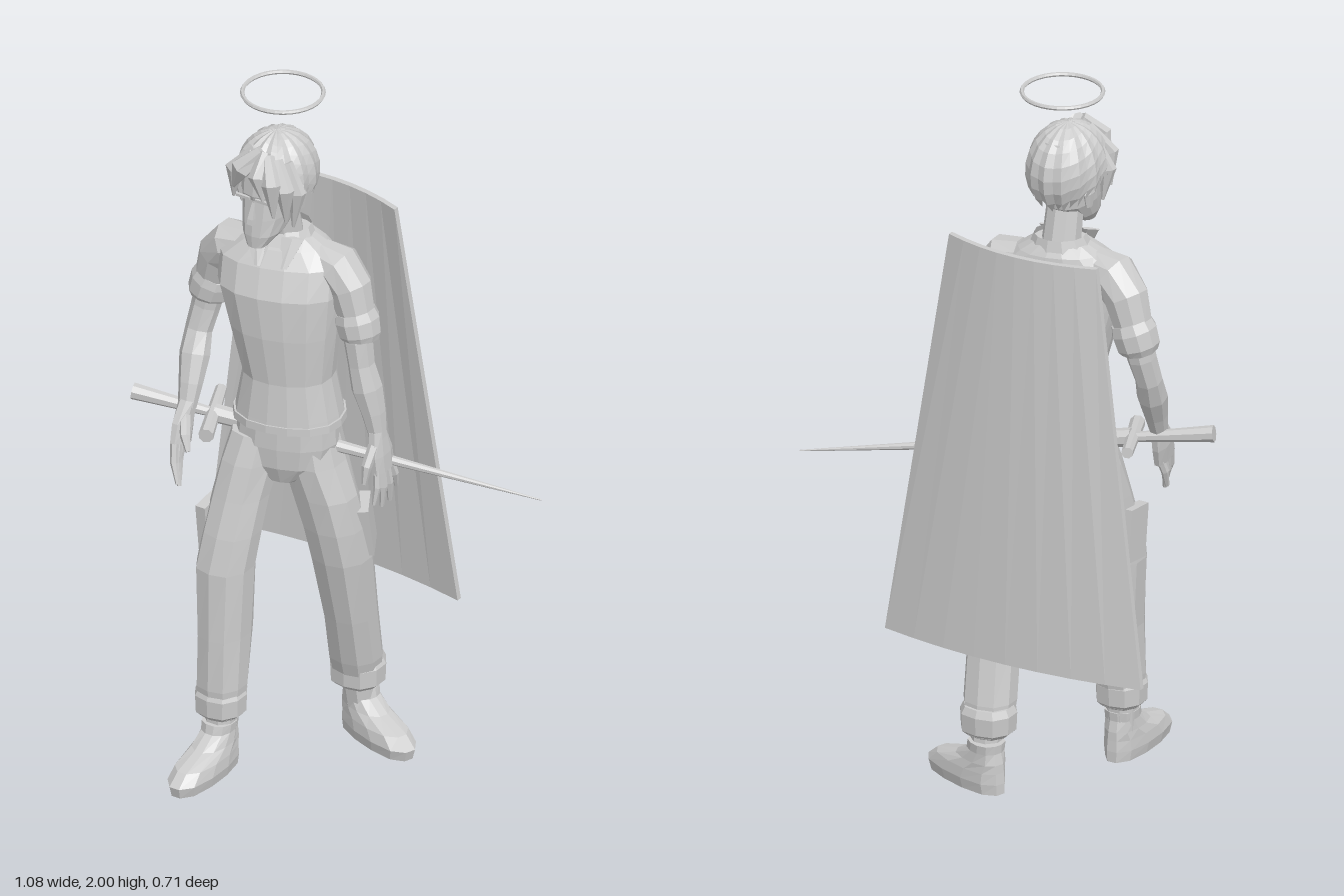
import * as THREE from 'three';

const grey = new THREE.MeshStandardMaterial({ color: 0xcccccc, flatShading: true, side: THREE.DoubleSide });
grey.name = 'plain grey';

export function createModel() {
  const root = new THREE.Group();
  root.name = 'swordBearer';

  const add = (name, geo, parent = root) => {
    const m = new THREE.Mesh(geo, grey);
    m.name = name;
    parent.add(m);
    return m;
  };

  // Skin through rings [x, y, z, rx, rz]; rings lie flat, or across the path when follow is set
  function loft(rings, { n = 10, p = 2, yaw = 0, follow = false, cap = true } = {}) {
    const pos = [], idx = [], c = rings.map(r => new THREE.Vector3(r[0], r[1], r[2]));
    rings.forEach((r, k) => {
      const t = new THREE.Vector3(0, 1, 0);
      if (follow) t.subVectors(c[Math.min(k + 1, c.length - 1)], c[Math.max(k - 1, 0)]).normalize();
      const ref = Math.abs(t.z) > 0.85 ? new THREE.Vector3(1, 0, 0) : new THREE.Vector3(0, 0, 1);
      const u = t.clone().cross(ref).normalize(), v = u.clone().cross(t);
      for (let i = 0; i < n; i++) {
        const a = (i + 0.5) / n * Math.PI * 2, ca = Math.cos(a), sa = Math.sin(a);
        const e = Math.pow(Math.abs(ca) ** p + Math.abs(sa) ** p, -1 / p);
        const x = ca * e * r[3], z = sa * e * (r[4] ?? r[3]);
        const px = x * Math.cos(yaw) + z * Math.sin(yaw), pz = z * Math.cos(yaw) - x * Math.sin(yaw);
        const q = c[k].clone().addScaledVector(u, px).addScaledVector(v, pz);
        pos.push(q.x, q.y, q.z);
      }
    });
    for (let k = 0; k < rings.length - 1; k++) for (let i = 0; i < n; i++) {
      const a = k * n + i, b = k * n + (i + 1) % n;
      idx.push(a, a + n, b, b, a + n, b + n);
    }
    if (cap) {
      const top = (rings.length - 1) * n;
      for (let i = 1; i < n - 1; i++) idx.push(0, i, i + 1, top, top + i + 1, top + i);
    }
    const g = new THREE.BufferGeometry();
    g.setAttribute('position', new THREE.Float32BufferAttribute(pos, 3));
    g.setIndex(idx);
    g.computeVertexNormals();
    return g;
  }
  const rod = (name, a, b, r1, r2, n = 8) => add(name, loft([[...a, r1], [...b, r2]], { n, follow: true }));

  // Halo
  add('halo', new THREE.TorusGeometry(0.108, 0.006, 6, 32).rotateX(Math.PI / 2)).position.set(-0.148, 1.994, -0.053);

  // Curved trapezoid back panel
  const panel = new THREE.BoxGeometry(2, 1.17, 0.016, 8, 1, 1), pp = panel.attributes.position;
  for (let i = 0; i < pp.count; i++) {
    const s = pp.getX(i), f = pp.getY(i) / 1.17 + 0.5;
    const half = THREE.MathUtils.lerp(0.392, 0.225, f), mid = THREE.MathUtils.lerp(-0.35, -0.299, f);
    pp.setXYZ(i, -0.148 + s * half, 0.44 + 1.17 * f, mid + s * s * 0.042 + pp.getZ(i));
  }
  panel.computeVertexNormals();
  add('backPanel', panel);

  // Sword through the hip
  const swordAt = s => [-0.53 + 1.07 * s, 1.025 - 0.16 * s, 0.09 - 0.345 * s];
  rod('swordGrip', swordAt(0), swordAt(0.2), 0.023, 0.013);
  rod('swordGuard', [-0.275, 0.985, 0.125], [-0.365, 1.0, -0.085], 0.021, 0.016);
  rod('swordBlade', swordAt(0.2), swordAt(1), 0.026, 0.002);

  // Shirt and pelvis
  const yaw = 0.28;
  add('shirt', loft([
    [-0.125, 1.025, -0.052, 0.148, 0.118], [-0.125, 1.05, -0.052, 0.144, 0.116],
    [-0.125, 1.16, -0.05, 0.124, 0.106], [-0.135, 1.3, -0.045, 0.15, 0.113],
    [-0.145, 1.42, -0.042, 0.172, 0.112], [-0.15, 1.5, -0.055, 0.17, 0.096],
    [-0.15, 1.545, -0.064, 0.115, 0.08], [-0.15, 1.57, -0.066, 0.075, 0.066],
  ], { n: 16, p: 2.4, yaw }));
  add('shirtHem', loft([[-0.125, 1.018, -0.052, 0.152, 0.122], [-0.125, 1.04, -0.052, 0.151, 0.121]], { n: 16, p: 2.4, yaw }));
  add('pelvis', loft([
    [-0.12, 0.85, -0.03, 0.05, 0.06], [-0.125, 0.9, -0.04, 0.125, 0.09],
    [-0.128, 0.96, -0.048, 0.142, 0.104], [-0.125, 1.04, -0.05, 0.135, 0.105],
  ], { n: 14, p: 2.4, yaw }));

  // Collar with two folded points
  add('collar', loft([[-0.15, 1.53, -0.06, 0.098, 0.086], [-0.15, 1.59, -0.07, 0.07, 0.062]], { n: 12, yaw, cap: false }));
  for (const s of [-1, 1]) {
    const flap = add('collarPoint', loft([[s * 0.035, -0.045, 0.012, 0.012, 0.006], [s * 0.05, 0.03, -0.028, 0.036, 0.007]], { n: 6 }));
    flap.position.set(-0.135, 1.55, 0.02);
    flap.rotation.y = yaw;
  }

  // Arms: sleeve, rolled cuff, bare arm, hand
  function arm(side, sleeve, cuff, bare, palm, tips, thumb) {
    add(side + 'Sleeve', loft(sleeve, { n: 10, follow: true }));
    add(side + 'SleeveCuff', loft(cuff, { n: 10, follow: true }));
    add(side + 'Arm', loft(bare, { n: 8, follow: true }));
    add(side + 'Palm', loft(palm, { n: 8, p: 2.6, follow: true }));
    const end = palm[palm.length - 1];
    tips.forEach((t, i) => {
      const k = [end[0], end[1] + 0.012, end[2] + (1.5 - i) * 0.02];
      const mid = [(k[0] + t[0]) / 2 + Math.sign(t[0]) * 0.006, (k[1] + t[1]) / 2, (k[2] + t[2]) / 2];
      add(side + 'Finger', loft([[...k, 0.012], [...mid, 0.011], [...t, 0.006]], { n: 6, follow: true }));
    });
    add(side + 'Thumb', loft(thumb, { n: 6, follow: true }));
  }
  arm('right',
    [[-0.24, 1.5, -0.04, 0.055], [-0.3, 1.49, -0.045, 0.066], [-0.345, 1.44, -0.055, 0.062], [-0.37, 1.36, -0.06, 0.053]],
    [[-0.362, 1.375, -0.06, 0.056], [-0.372, 1.35, -0.06, 0.063], [-0.384, 1.31, -0.058, 0.06], [-0.386, 1.295, -0.056, 0.05]],
    [[-0.372, 1.36, -0.06, 0.044], [-0.39, 1.27, -0.05, 0.04], [-0.4, 1.2, -0.03, 0.037], [-0.393, 1.14, 0, 0.042], [-0.383, 1.07, 0.035, 0.033], [-0.378, 1.01, 0.06, 0.025]],
    [[-0.378, 1.03, 0.055, 0.023, 0.026], [-0.378, 0.97, 0.08, 0.022, 0.042], [-0.374, 0.92, 0.097, 0.018, 0.043]],
    [[-0.345, 0.83, 0.155], [-0.35, 0.815, 0.14], [-0.362, 0.82, 0.12], [-0.38, 0.835, 0.1]],
    [[-0.372, 1.0, 0.08, 0.016], [-0.345, 0.96, 0.12, 0.014], [-0.325, 0.925, 0.135, 0.007]]);
  arm('left',
    [[-0.05, 1.5, -0.09, 0.055], [0.0, 1.49, -0.092, 0.066], [0.04, 1.44, -0.092, 0.061], [0.062, 1.36, -0.09, 0.052]],
    [[0.057, 1.375, -0.09, 0.055], [0.064, 1.35, -0.09, 0.062], [0.074, 1.31, -0.088, 0.058], [0.076, 1.295, -0.086, 0.05]],
    [[0.06, 1.36, -0.09, 0.043], [0.07, 1.29, -0.085, 0.04], [0.08, 1.22, -0.085, 0.037], [0.096, 1.15, -0.088, 0.043], [0.115, 1.08, -0.09, 0.034], [0.128, 1.01, -0.092, 0.025]],
    [[0.126, 1.03, -0.09, 0.023, 0.026], [0.135, 0.96, -0.096, 0.021, 0.044], [0.14, 0.91, -0.1, 0.018, 0.044]],
    [[0.14, 0.82, -0.055], [0.142, 0.8, -0.09], [0.142, 0.8, -0.128], [0.142, 0.83, -0.16]],
    [[0.13, 0.99, -0.07, 0.016], [0.128, 0.94, -0.038, 0.014], [0.125, 0.89, -0.03, 0.007]]);

  // Trousers, cuffs, ankles and shoes
  function leg(side, rings, cuff, ankle, toeYaw, heel) {
    add(side + 'TrouserLeg', loft(rings, { n: 10, p: 2.5 }));
    const [x, y, z, rx, rz] = cuff;
    add(side + 'TrouserCuff', loft([[x, y - 0.05, z, rx * 0.78, rz * 0.78], [x, y - 0.035, z, rx, rz],
      [x, y + 0.015, z, rx * 1.03, rz * 1.03], [x, y + 0.035, z, rx * 0.9, rz * 0.9]], { n: 10, p: 2.5 }));
    add(side + 'Ankle', loft([[ankle[0], 0.08, ankle[1], 0.044], [x, 0.18, z, 0.046]], { n: 8 }));
    const shoe = add(side + 'Shoe', loft([
      [0, 0, 0.138, 0.05, 0.138], [0, 0.03, 0.142, 0.056, 0.142], [0, 0.06, 0.125, 0.053, 0.122],
      [0, 0.085, 0.085, 0.047, 0.08], [0, 0.115, 0.064, 0.043, 0.052], [0, 0.14, 0.06, 0.045, 0.05],
    ], { n: 12, p: 2.5 }));
    shoe.position.set(heel[0], 0, heel[1]);
    shoe.rotation.y = toeYaw;
  }
  leg('right', [
    [-0.225, 0.16, 0.125, 0.058, 0.058], [-0.225, 0.25, 0.122, 0.066, 0.071], [-0.225, 0.4, 0.107, 0.066, 0.082],
    [-0.23, 0.6, 0.097, 0.076, 0.083], [-0.222, 0.7, 0.075, 0.076, 0.08], [-0.215, 0.8, 0.045, 0.075, 0.078],
    [-0.205, 0.9, 0.005, 0.075, 0.09], [-0.195, 0.98, -0.015, 0.07, 0.08],
  ], [-0.226, 0.205, 0.126, 0.067, 0.068], [-0.225, 0.13], 0, [-0.225, 0.072]);
  leg('left', [
    [-0.015, 0.16, -0.215, 0.06, 0.058], [-0.01, 0.25, -0.196, 0.071, 0.07], [0, 0.4, -0.158, 0.07, 0.073],
    [0, 0.6, -0.115, 0.08, 0.083], [-0.01, 0.7, -0.095, 0.083, 0.083], [-0.03, 0.8, -0.077, 0.088, 0.08],
    [-0.058, 0.9, -0.072, 0.082, 0.09], [-0.07, 0.98, -0.07, 0.075, 0.085],
  ], [-0.014, 0.205, -0.212, 0.074, 0.07], [-0.01, -0.225], 1.22, [-0.075, -0.252]);

  // Thigh pockets
  for (const [name, x, y, z, ry, rx] of [['rightPocket', -0.295, 0.69, 0.07, 0, 0.12], ['leftPocket', 0.055, 0.69, -0.15, 0.5, 0.2]]) {
    const pocket = add(name, new THREE.BoxGeometry(0.03, 0.15, 0.09));
    pocket.position.set(x, y, z);
    pocket.rotation.set(rx, ry, 0);
  }

  // Neck, head and face
  rod('neck', [-0.15, 1.5, -0.075], [-0.15, 1.67, -0.04], 0.055, 0.05, 10);
  add('head', loft([
    [-0.152, 1.585, 0.062, 0.026, 0.028], [-0.152, 1.62, 0.028, 0.05, 0.064], [-0.152, 1.67, -0.006, 0.063, 0.094],
    [-0.152, 1.725, -0.015, 0.067, 0.098], [-0.152, 1.74, -0.017, 0.07, 0.105], [-0.15, 1.8, -0.025, 0.074, 0.108],
    [-0.148, 1.86, -0.03, 0.05, 0.08],
  ], { n: 14, p: 2.5 }));
  add('nose', loft([[-0.152, 1.66, 0.09, 0.013, 0.017], [-0.152, 1.675, 0.088, 0.012, 0.016], [-0.152, 1.72, 0.076, 0.006, 0.01]], { n: 4 }));
  for (const s of [-1, 1]) {
    add('ear', loft([[0, -0.03, 0, 0.008, 0.012], [0, 0.01, 0, 0.013, 0.024], [0, 0.032, 0, 0.008, 0.014]], { n: 6 }))
      .position.set(-0.152 + s * 0.07, 1.7, -0.04);
    add('eyebrow', new THREE.BoxGeometry(0.042, 0.008, 0.008)).position.set(-0.152 + s * 0.03, 1.732, 0.086);
  }

  // Ridged hair cap, long at the nape and short over the brow
  const cap = new THREE.SphereGeometry(1, 28, 8), hp = cap.attributes.position;
  for (let i = 0; i < hp.count; i++) {
    const col = i % 29, row = Math.floor(i / 29) / 8, a = (col % 28) / 28 * Math.PI * 2;
    const limit = 1.85 - 0.62 * Math.cos(a), th = row * limit;
    const r = 1 - (col % 2 ? 0.06 * Math.sin(row * Math.PI * 0.6) : 0);
    hp.setXYZ(i, -0.148 + 0.108 * r * Math.sin(th) * Math.sin(a) * -1, 1.765 + 0.13 * r * Math.cos(th),
      -0.025 + 0.13 * r * Math.sin(th) * Math.cos(a));
  }
  // Mirroring x turned the faces round, so swap the corners back
  const hi = cap.index.array;
  for (let i = 0; i < hi.length; i += 3) [hi[i], hi[i + 1]] = [hi[i + 1], hi[i]];
  cap.computeVertexNormals();
  add('hairCap', cap);

  // Locks of hair over the brow and temples: start, bend, tip, width
  const locks = [
    [[-0.12, 1.86, 0.06], [-0.085, 1.8, 0.1], [-0.08, 1.7, 0.095], 0.028],
    [[-0.1, 1.85, 0.05], [-0.058, 1.78, 0.075], [-0.06, 1.68, 0.065], 0.028],
    [[-0.08, 1.84, 0.03], [-0.045, 1.76, 0.035], [-0.06, 1.65, 0.03], 0.026],
    [[-0.13, 1.87, 0.06], [-0.13, 1.81, 0.1], [-0.11, 1.745, 0.1], 0.026],
    [[-0.14, 1.87, 0.06], [-0.185, 1.82, 0.092], [-0.22, 1.745, 0.075], 0.03],
    [[-0.17, 1.86, 0.04], [-0.228, 1.79, 0.06], [-0.236, 1.7, 0.05], 0.027],
    [[-0.2, 1.84, 0.02], [-0.245, 1.76, 0.02], [-0.232, 1.67, 0.015], 0.025],
  ];
  for (const [a, b, c, w] of locks)
    add('hairLock', loft([[...a, w * 0.6], [...b, w, w * 0.75], [...c, 0.004]], { n: 6, follow: true }));

  return root;
}
